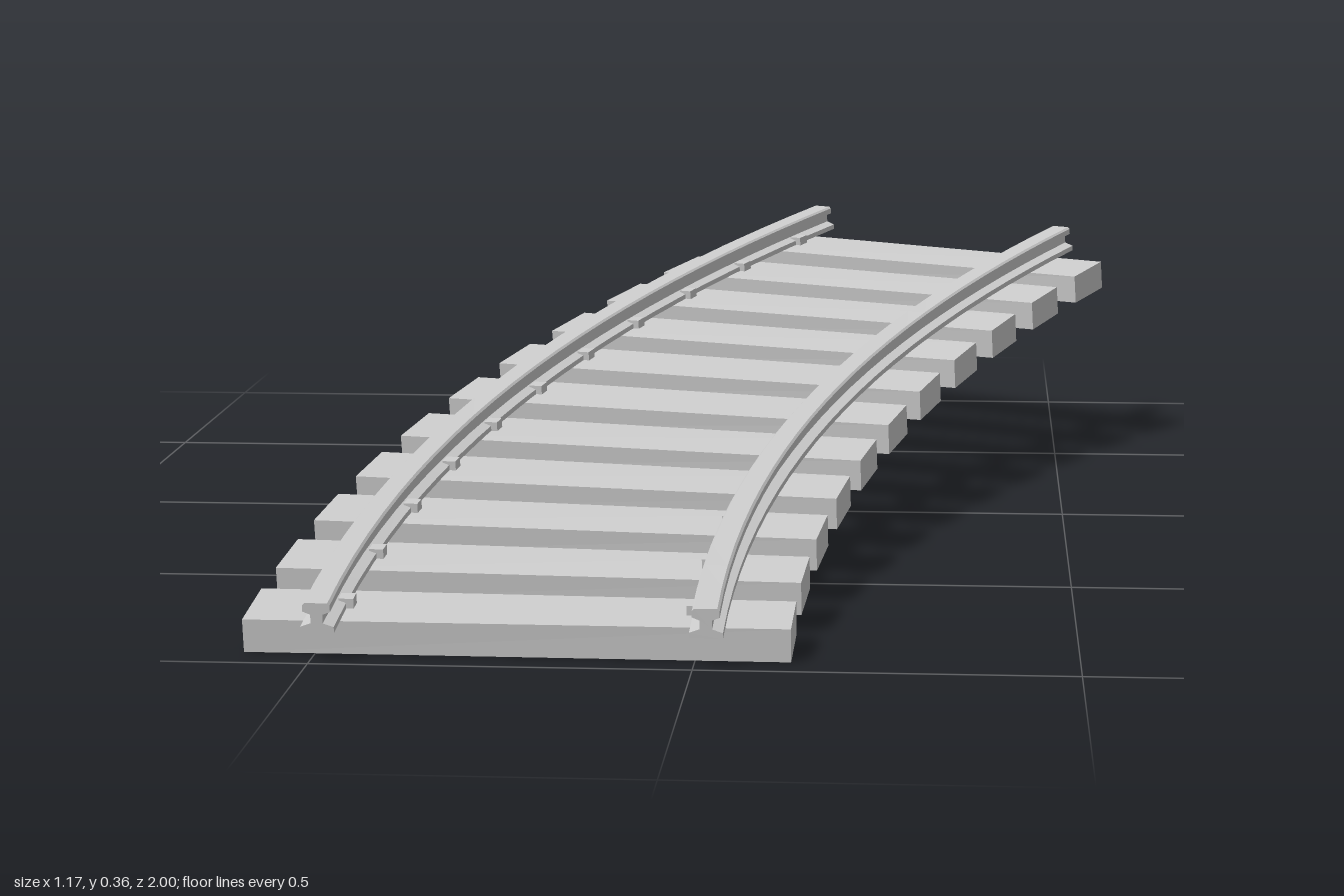
import * as THREE from 'three';

const RADIUS = 3.455;            // centre-line radius of the curve
const CX = 3.22, CZ = 0.987;     // centre of the curve
const PITCH = 0.143;             // climb angle
const HALF_GAUGE = 0.2525;
const SLEEPERS = 11, FIRST = 0.039, STEP = 0.1773;
const SLEEPER_W = 0.105, SLEEPER_H = 0.046;
const RAIL_LENGTH = 1.973;

const material = new THREE.MeshStandardMaterial({ color: 0xcccccc, flatShading: true });

// Takes straight track (x across, y up, -z along), pitches it uphill and bends it round the curve
function bend(geometry) {
  const g = geometry.index ? geometry.toNonIndexed() : geometry;
  const p = g.attributes.position;
  const sin = Math.sin(PITCH), cos = Math.cos(PITCH);
  for (let i = 0; i < p.count; i++) {
    const s = -p.getZ(i), h = p.getY(i), r = RADIUS - p.getX(i);
    const angle = (s * cos - h * sin) / RADIUS;
    p.setXYZ(i, CX - r * Math.cos(angle), (s - FIRST) * sin + h * cos, CZ - r * Math.sin(angle));
  }
  g.computeVertexNormals();
  return g;
}

function add(parent, name, geometry) {
  const mesh = new THREE.Mesh(bend(geometry), material);
  mesh.name = name;
  parent.add(mesh);
}

// Rail cross-section: foot, web and head, mirrored
function railShape() {
  const half = [[0.022, 0], [0.022, 0.008], [0.008, 0.013], [0.008, 0.025], [0.018, 0.029], [0.018, 0.038], [0.015, 0.041]];
  const left = half.map(([x, y]) => [-x, y]).reverse();
  return new THREE.Shape([...half, ...left].map(([x, y]) => new THREE.Vector2(x, y)));
}

export function createModel() {
  const track = new THREE.Group();
  track.name = 'curvedTrack';

  const sleepers = new THREE.Group();
  sleepers.name = 'sleepers';
  const clips = new THREE.Group();
  clips.name = 'railClips';
  track.add(sleepers, clips);

  for (let i = 0; i < SLEEPERS; i++) {
    const s = FIRST + i * STEP + SLEEPER_W / 2;
    const sleeper = new THREE.BoxGeometry(0.72, SLEEPER_H, SLEEPER_W);
    add(sleepers, 'sleeper', sleeper.translate(0, SLEEPER_H / 2, -s));

    // Clips holding the inner foot of each rail
    for (const side of [-1, 1]) {
      const clip = new THREE.BoxGeometry(0.02, 0.014, 0.02);
      add(clips, 'railClip', clip.translate(side * (HALF_GAUGE - 0.022), SLEEPER_H + 0.007, -s));
    }
  }

  // Rails
  for (const side of [-1, 1]) {
    const rail = new THREE.ExtrudeGeometry(railShape(), { depth: RAIL_LENGTH, steps: 24, bevelEnabled: false });
    add(track, side < 0 ? 'outerRail' : 'innerRail', rail.translate(side * HALF_GAUGE, SLEEPER_H, -RAIL_LENGTH));
  }
  return track;
}
